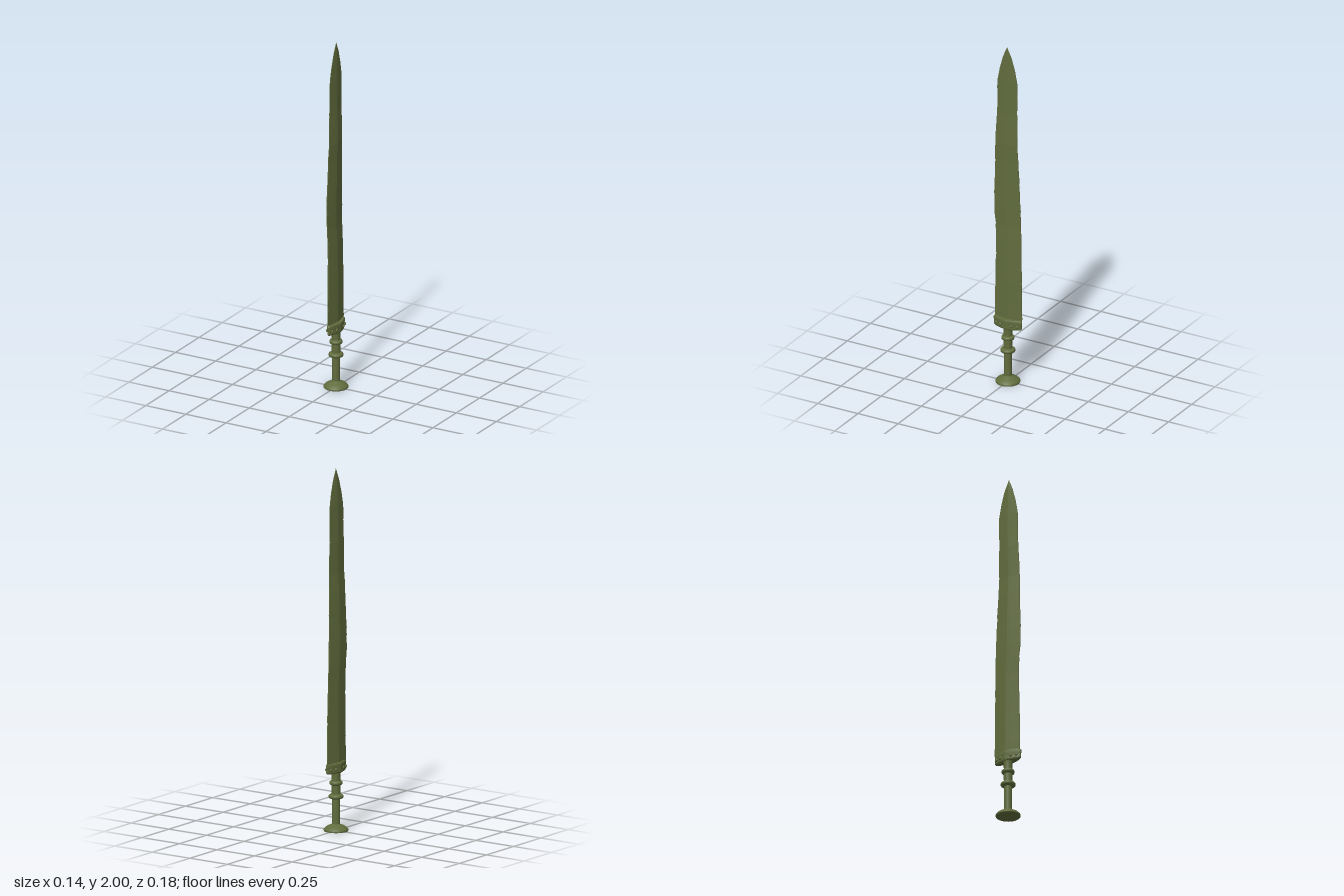
import * as THREE from 'three';

// Lofts closed sections (x, z rings listed bottom to top) with caps
function loft(rings) {
  const pos = [];
  const tri = (a, b, c) => pos.push(...a, ...b, ...c);
  const n = rings[0].length;
  const middle = (r) => [0, 1, 2].map((k) => r.reduce((s, p) => s + p[k], 0) / n);
  const low = rings[0], high = rings[rings.length - 1];
  for (let i = 0; i < n; i++) {
    const j = (i + 1) % n;
    for (let r = 0; r < rings.length - 1; r++) {
      const a = rings[r], b = rings[r + 1];
      tri(a[i], b[i], a[j]);
      tri(b[i], b[j], a[j]);
    }
    tri(middle(low), low[i], low[j]);
    tri(middle(high), high[j], high[i]);
  }
  const g = new THREE.BufferGeometry();
  g.setAttribute('position', new THREE.Float32BufferAttribute(pos, 3));
  g.computeVertexNormals();
  return g;
}

function sampleRows(rows, y) {
  let k = 0;
  while (k < rows.length - 2 && y > rows[k + 1][0]) k++;
  const t = (y - rows[k][0]) / (rows[k + 1][0] - rows[k][0]);
  return rows[k].map((v, i) => v + (rows[k + 1][i] - v) * t);
}

export function createModel() {
  const model = new THREE.Group();
  const bronze = new THREE.MeshStandardMaterial({ color: 0x616c3d });
  bronze.name = 'aged green bronze';
  const add = (name, geometry, x = 0, y = 0, z = 0) => {
    const m = new THREE.Mesh(geometry, bronze);
    m.name = name;
    m.position.set(x, y, z);
    model.add(m);
    return m;
  };

  let seed = 7;
  const rand = () => {
    seed = (seed * 16807) % 2147483647;
    return seed / 2147483647 - 0.5;
  };

  // Blade: height, +z edge, -z edge, x of the midline, half thickness
  const rows = [
    [0.36, 0.083, -0.085, -0.004, 0.016],
    [0.6, 0.078, -0.083, -0.004, 0.015],
    [0.84, 0.074, -0.08, -0.006, 0.014],
    [0.93, 0.08, -0.075, -0.008, 0.013],
    [1.02, 0.087, -0.075, -0.007, 0.014],
    [1.1, 0.087, -0.07, -0.006, 0.014],
    [1.2, 0.083, -0.068, -0.004, 0.014],
    [1.32, 0.079, -0.062, -0.002, 0.013],
    [1.42, 0.075, -0.06, 0.002, 0.012],
    [1.6, 0.068, -0.058, -0.001, 0.011],
    [1.8, 0.063, -0.057, 0, 0.009],
    [1.87, 0.049, -0.044, 0.001, 0.007],
    [1.94, 0.029, -0.024, 0.002, 0.005],
    [1.98, 0.013, -0.006, 0.003, 0.003],
    [2.0, 0.004, 0.002, 0.003, 0.001],
  ];
  // Lozenge section with a midrib and blunt edges
  const section = [[1, 0], [0.8, 0.28], [0.16, 1], [-0.16, 1], [-0.8, 0.28],
    [-1, 0], [-0.8, -0.28], [-0.16, -1], [0.16, -1], [0.8, -0.28]];
  const heights = rows.map((r) => r[0]);
  for (let y = 0.39; y < 1.82; y += 0.04) heights.push(y);
  heights.sort((a, b) => a - b);
  const blade = heights.map((y) => {
    const [, left, right, mid, half] = sampleRows(rows, y);
    const wear = y < 1.85 ? 0.004 : 0;
    const l = left + rand() * wear, r = right + rand() * wear;
    const c = (left + right) / 2;
    return section.map(([sx, sz]) => [
      mid + sx * half, y, c + (sz > 0 ? sz * (l - c) : -sz * (r - c))]);
  });
  add('blade', loft(blade));

  // Guard: lens-shaped collar with softened rims
  const lens = [];
  for (let i = 0; i < 32; i++) {
    const a = (i / 32) * Math.PI * 2;
    const z = Math.sin(a);
    lens.push([Math.cos(a) * (0.021 + 0.012 * (1 - Math.abs(z))), z * 0.088]);
  }
  const collar = [[0.324, 0.9], [0.331, 0.98], [0.35, 0.97], [0.362, 1], [0.374, 1], [0.381, 0.92]];
  add('guard', loft(collar.map(([y, s]) => lens.map(([x, z]) => [x * s, y, z * s]))));

  // Rivets on both guard faces
  for (const side of [-1, 1]) {
    for (const z of [-0.066, -0.034, 0.034, 0.066]) {
      const rivet = add('guardRivet', new THREE.SphereGeometry(0.009, 12, 8),
        side * (z * z > 0.003 ? 0.016 : 0.026), 0.347, z);
      rivet.scale.set(0.7, 1, 1);
    }
  }

  // Grip, flared slightly under the guard
  const curve = (pts) => new THREE.LatheGeometry(pts.map(([x, y]) => new THREE.Vector2(x, y)), 40);
  add('grip', curve([[0.021, 0.025], [0.022, 0.1], [0.022, 0.18], [0.024, 0.23],
    [0.023, 0.27], [0.024, 0.31], [0.028, 0.332]]));

  // Grip rings
  for (const [y, r] of [[0.19, 0.041], [0.265, 0.036]]) {
    const ring = [[0.02, -0.014], [r - 0.01, -0.012]];
    for (let i = 0; i <= 8; i++) {
      const a = -Math.PI / 2 + (i / 8) * Math.PI;
      ring.push([r - 0.009 + Math.cos(a) * 0.009, Math.sin(a) * 0.011]);
    }
    ring.push([0.02, 0.014]);
    add('gripRing', curve(ring), 0, y, 0);
  }

  // Domed disc pommel with a flat base
  add('pommelDome', curve([[0.066, 0], [0.068, 0.005], [0.066, 0.011], [0.058, 0.019],
    [0.045, 0.027], [0.03, 0.033], [0.02, 0.04]]));
  const base = add('pommelBase', new THREE.CircleGeometry(0.066, 40));
  base.rotation.x = Math.PI / 2;

  return model;
}
